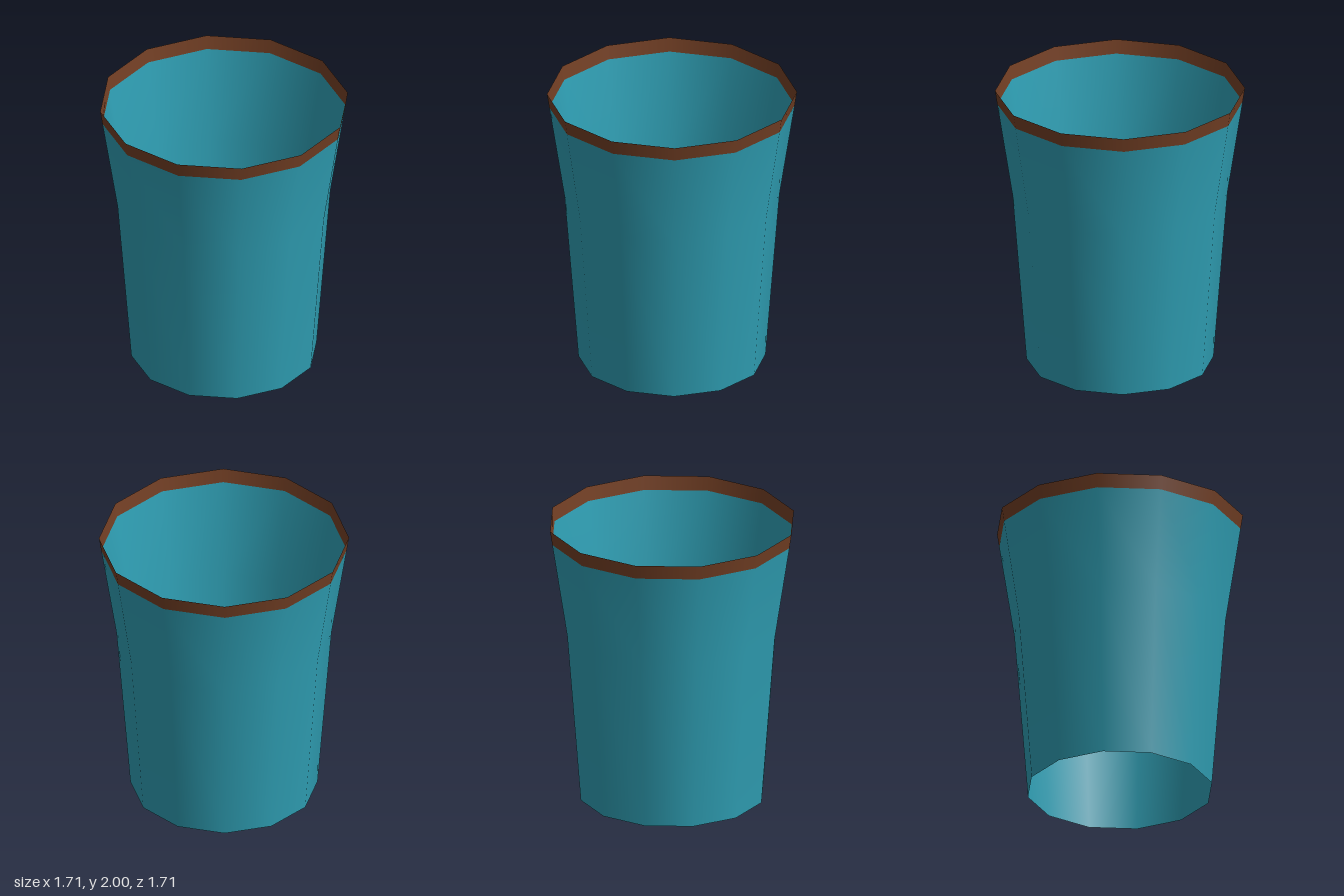
import * as THREE from 'three';

const SIDES = 12;

// Open twelve-sided band of wall through [radius, height] points
function band(name, points, material) {
  const profile = points.map(([r, y]) => new THREE.Vector2(r, y));
  const mesh = new THREE.Mesh(new THREE.LatheGeometry(profile, SIDES), material);
  mesh.name = name;
  return mesh;
}

export function createModel() {
  const teal = new THREE.MeshStandardMaterial({ color: 0x2f9fb4, side: THREE.DoubleSide });
  teal.name = 'teal';
  const brown = new THREE.MeshStandardMaterial({ color: 0x733f24, side: THREE.DoubleSide });
  brown.name = 'brown';

  const cup = new THREE.Group();
  cup.name = 'openCup';

  // Thin wall, open at both ends, flaring more above the waist
  cup.add(band('wall', [[0.64, 0], [0.735, 1.22], [0.84, 1.9]], teal));
  // Rim band continuing the flare
  cup.add(band('rim', [[0.84, 1.9], [0.855, 2]], brown));

  return cup;
}
